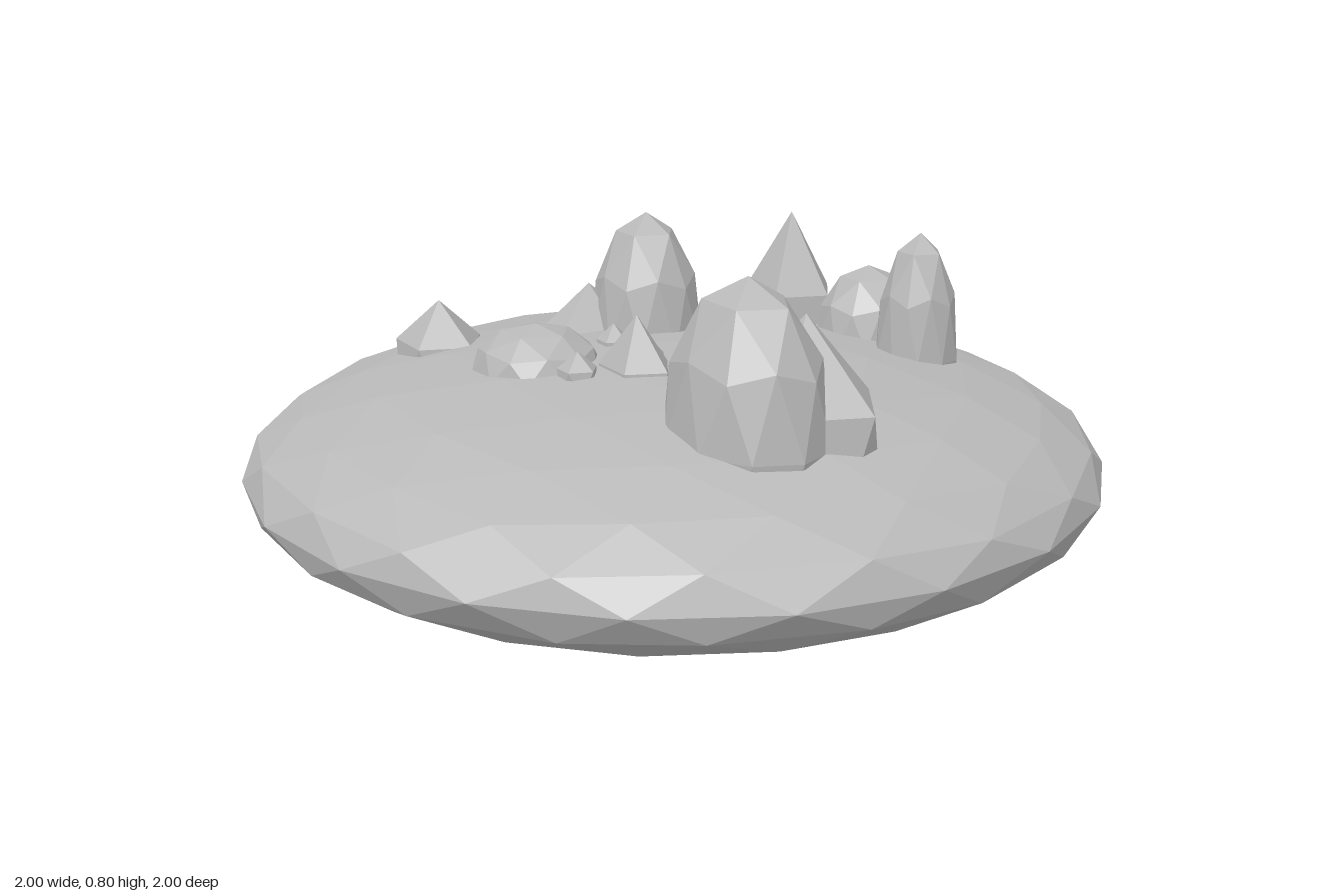
import * as THREE from 'three';

// Icosphere with its poles on the y axis; each level splits every face in four.
function icosphere(level) {
  const verts = [0, 1, 0, 0, -1, 0];
  const faces = [];
  const r = 2 / Math.sqrt(5), h = 1 / Math.sqrt(5);
  for (let i = 0; i < 5; i++) {
    const a = i * Math.PI * 0.4, b = a + Math.PI * 0.2;
    verts.push(r * Math.cos(a), h, -r * Math.sin(a)); // upper ring: 2, 4, 6 ...
    verts.push(r * Math.cos(b), -h, -r * Math.sin(b)); // lower ring: 3, 5, 7 ...
    const up = 2 + 2 * i, low = up + 1;
    const up2 = 2 + 2 * ((i + 1) % 5), low2 = up2 + 1;
    faces.push(0, up, up2, up, low, up2, low, low2, up2, 1, low2, low);
  }
  let geo = new THREE.PolyhedronGeometry(verts, faces, 1, 0);
  for (let i = 0; i < level; i++) {
    const p = Array.from(geo.attributes.position.array);
    geo = new THREE.PolyhedronGeometry(p, p.slice(0, p.length / 3).map((_, k) => k), 1, 1);
  }
  return geo;
}

// Rounded boulders: x, z, radius x, radius z, top, half height
const BOULDERS = [
  [-0.13, 0.505, 0.166, 0.21, 0.8, 0.34],
  [0.055, -0.225, 0.137, 0.145, 0.8, 0.31],
  [-0.315, -0.085, 0.151, 0.16, 0.6, 0.11],
  [0.561, 0.0, 0.133, 0.127, 0.655, 0.19],
  [0.556, 0.203, 0.101, 0.099, 0.77, 0.3],
];

// Pointed five-sided rocks, same columns
const CRYSTALS = [
  [-0.01, 0.54, 0.186, 0.204, 0.715, 0.335],
  [0.457, -0.187, 0.129, 0.132, 0.77, 0.36],
  [-0.395, -0.455, 0.119, 0.132, 0.59, 0.18],
  [-0.075, -0.28, 0.145, 0.094, 0.63, 0.2],
  [0.12, 0.18, 0.106, 0.094, 0.625, 0.18],
  [-0.17, 0.12, 0.089, 0.11, 0.645, 0.21],
];

// Small pebbles: x, z, radius, top
const PEBBLES = [
  [-0.3, 0.085, 0.052, 0.57],
  [-0.115, -0.085, 0.045, 0.575],
  [0.14, -0.005, 0.047, 0.573],
  [0.04, 0.13, 0.043, 0.575],
  [-0.11, 0.075, 0.04, 0.575],
  [0.165, -0.295, 0.036, 0.565],
];

export function createModel() {
  const model = new THREE.Group();
  model.name = 'rockyIsland';
  const stone = new THREE.MeshStandardMaterial({ color: 0xb8b8b8, flatShading: true });
  stone.name = 'stone grey';

  const add = (name, geo, x, z, rx, rz, top, ry) => {
    const mesh = new THREE.Mesh(geo, stone);
    mesh.name = name;
    mesh.scale.set(rx, ry, rz);
    mesh.position.set(x, top - ry, z);
    model.add(mesh);
  };

  // Flattened disc of ground
  add('ground', icosphere(2), 0, 0, 1, 1, 0.535, 0.2675);

  // Rocks sunk into the ground
  const round = icosphere(1), pointed = icosphere(0);
  BOULDERS.forEach((b, i) => add(`boulder${i + 1}`, round, ...b));
  CRYSTALS.forEach((c, i) => add(`pointedRock${i + 1}`, pointed, ...c));
  PEBBLES.forEach(([x, z, r, top], i) => add(`pebble${i + 1}`, pointed, x, z, r, r, top, 0.07));

  return model;
}
